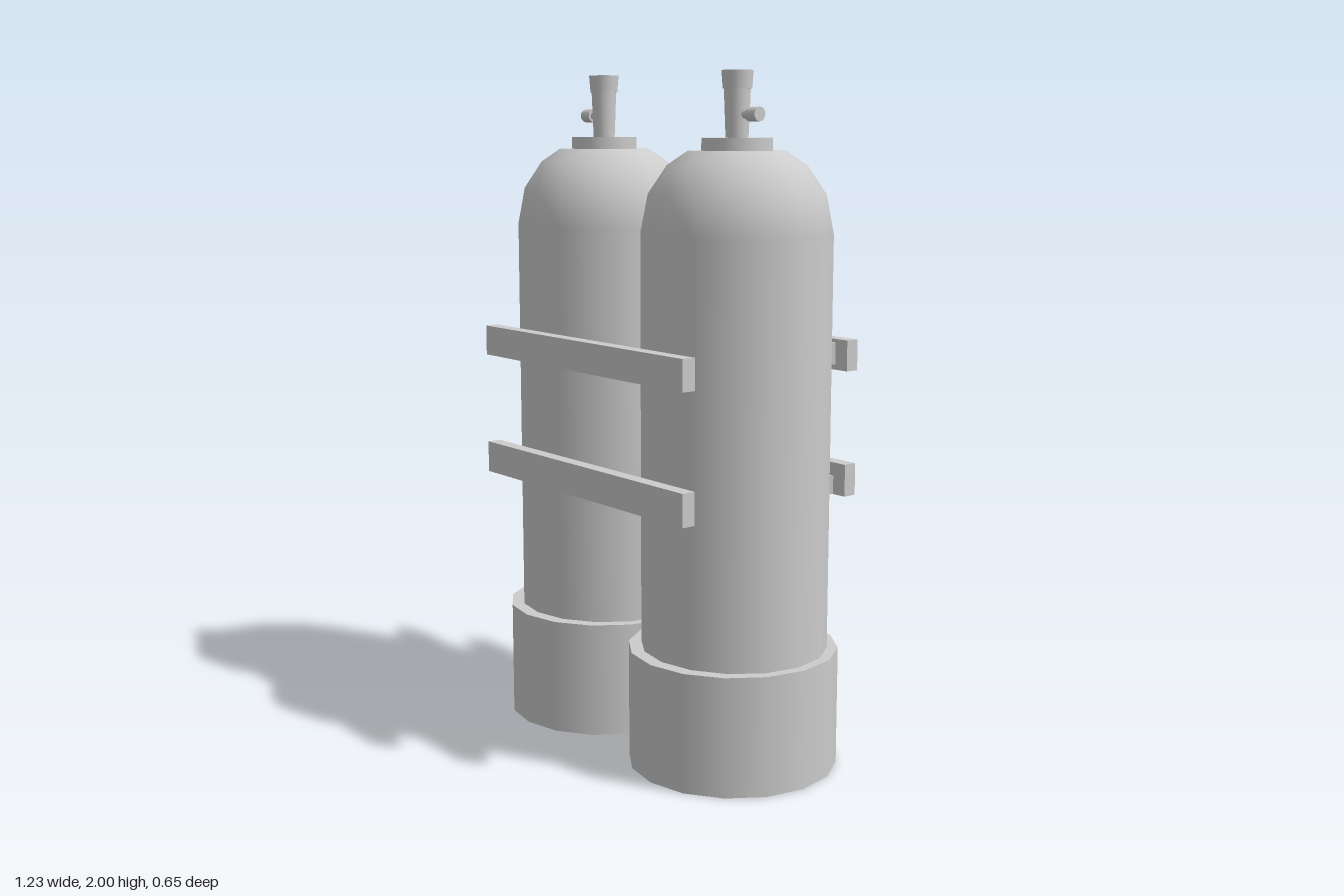
import * as THREE from 'three';

const material = new THREE.MeshStandardMaterial({ color: 0xcccccc });

function add(parent, name, geometry, x = 0, y = 0, z = 0) {
  const mesh = new THREE.Mesh(geometry, material);
  mesh.name = name;
  mesh.position.set(x, y, z);
  parent.add(mesh);
  return mesh;
}

const lathe = (points, sides) =>
  new THREE.LatheGeometry(points.map(([r, y]) => new THREE.Vector2(r, y)), sides);

// One cylinder with boot, neck and valve; side = +1 turns the knob towards +x
function makeTank(side) {
  const tank = new THREE.Group();
  tank.name = side > 0 ? 'leftTank' : 'rightTank';

  // Boot around the foot
  add(tank, 'boot', new THREE.CylinderGeometry(0.307, 0.307, 0.35, 16), 0, 0.175, 0.003);

  // Body with a rounded shoulder and flat top
  const body = add(tank, 'body', lathe(
    [[0.277, 0.02], [0.277, 1.55], [0.255, 1.66], [0.2, 1.74], [0.14, 1.78]], 16));
  body.scale.z = 0.97;
  const top = add(tank, 'bodyTop', new THREE.CircleGeometry(0.14, 16).rotateX(-Math.PI / 2), 0, 1.78, 0);
  top.scale.z = 0.97;

  // Neck collar
  add(tank, 'collar', new THREE.CylinderGeometry(0.1, 0.1, 0.045, 24), 0, 1.793, 0);

  // Valve stem widening into its cap
  add(tank, 'valveStem', new THREE.CylinderGeometry(0.038, 0.032, 0.15, 20), 0, 1.885, 0);
  add(tank, 'valveCap', new THREE.CylinderGeometry(0.045, 0.041, 0.05, 20), 0, 1.975, 0);

  // Side knob on a thin spindle
  const sideways = (r, length) => new THREE.CylinderGeometry(r, r, length, 16).rotateZ(Math.PI / 2);
  add(tank, 'knobSpindle', sideways(0.013, 0.05), side * 0.04, 1.88, 0);
  add(tank, 'knob', sideways(0.02, 0.042), side * 0.073, 1.88, 0);
  return tank;
}

// Tapered block between bar and tank, widest at the bar
function padGeometry(height) {
  const shape = new THREE.Shape([
    new THREE.Vector2(-0.1, 0), new THREE.Vector2(0.1, 0),
    new THREE.Vector2(0.115, 0.05), new THREE.Vector2(-0.115, 0.05),
  ]);
  return new THREE.ExtrudeGeometry(shape, { depth: height, bevelEnabled: false })
    .rotateX(Math.PI / 2).translate(0, height, 0);
}

export function createModel() {
  const model = new THREE.Group();
  model.name = 'twinTanks';

  for (const side of [-1, 1]) {
    const tank = makeTank(side);
    tank.position.x = side * 0.31 - 0.002;
    model.add(tank);
  }

  // Clamping bars with their pads, front and back
  const levels = [
    { bar: [0.78, 0.875], pad: [0.78, 0.835] },
    { bar: [1.15, 1.24], pad: [1.165, 1.23] },
  ];
  for (const { bar, pad } of levels) {
    for (const face of [-1, 1]) {
      const height = bar[1] - bar[0];
      add(model, face > 0 ? 'frontBar' : 'backBar',
        new THREE.BoxGeometry(0.96, height, 0.042), -0.01, bar[0] + height / 2, face * 0.306);
      for (const x of [-0.31, 0.31]) {
        const block = add(model, 'pad', padGeometry(pad[1] - pad[0]), x, pad[0], face * 0.243);
        if (face < 0) block.rotation.y = Math.PI;
      }
    }
  }
  return model;
}
